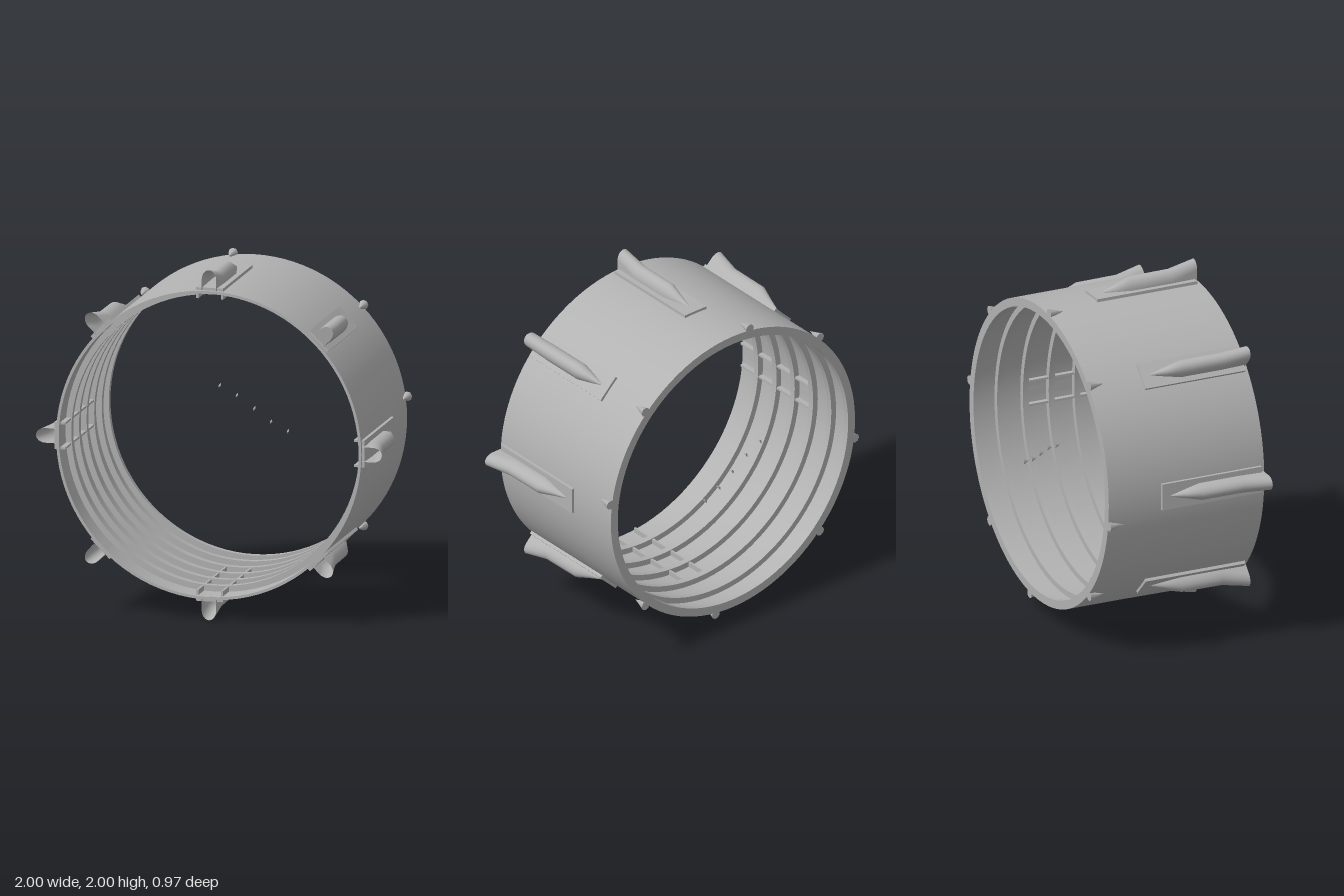
import * as THREE from 'three';
import { toCreasedNormals } from 'three/addons/utils/BufferGeometryUtils.js';

const CENTER_Y = 1;

// Ring wall with inner ribs: one closed profile of [radius, z], turned about z
function ringGeometry() {
  const inner = 0.866, rib = 0.832;
  const p = [[0.882, -0.485], [0.882, 0.48], [inner, 0.48]];
  for (const z of [0.32, 0.16, 0, -0.16, -0.32]) {
    p.push([inner, z + 0.018], [rib, z + 0.018], [rib, z - 0.018], [inner, z - 0.018]);
  }
  p.push([inner, -0.45], [rib, -0.45], [rib, -0.485], [0.882, -0.485]);
  const geo = new THREE.LatheGeometry(p.map(([r, z]) => new THREE.Vector2(r, z)), 96);
  geo.rotateX(Math.PI / 2);
  return toCreasedNormals(geo, 0.6);
}

// Hollow scoop: arched sections [z, half width, top radius] lofted to a point
function scoopGeometry() {
  const sections = [[0.475, 0.042, 1.0], [0.32, 0.047, 0.965], [0.07, 0.047, 0.963],
    [-0.02, 0.026, 0.928], [-0.12, 0.001, 0.892]];
  const base = 0.87, n = 14, pos = [], idx = [];
  sections.forEach(([z, w, top], i) => {
    const arch = Math.min(w * 1.3, top - base);
    for (let j = 0; j <= n; j++) {
      const a = Math.PI * (1 - (j - 1) / (n - 2));
      if (j === 0) pos.push(-w, base, z);
      else if (j === n) pos.push(w, base, z);
      else pos.push(w * Math.cos(a), top - arch + arch * Math.sin(a), z);
      if (i < sections.length - 1 && j < n) {
        const q = i * (n + 1) + j, r = q + n + 1;
        idx.push(q, q + 1, r, q + 1, r + 1, r);
      }
    }
  });
  const geo = new THREE.BufferGeometry();
  geo.setAttribute('position', new THREE.Float32BufferAttribute(pos, 3));
  geo.setIndex(idx);
  geo.computeVertexNormals();
  return geo;
}

export function createModel() {
  const grey = new THREE.MeshStandardMaterial({ color: 0xb2b2b2, side: THREE.DoubleSide });
  grey.name = 'plain grey';
  const model = new THREE.Group();
  model.name = 'ribbedRing';
  const body = new THREE.Group();
  body.name = 'body';
  body.position.y = CENTER_Y;
  model.add(body);

  const add = (parent, name, geo, x = 0, y = 0, z = 0) => {
    const mesh = new THREE.Mesh(geo, grey);
    mesh.name = name;
    mesh.position.set(x, y, z);
    parent.add(mesh);
    return mesh;
  };

  add(body, 'ringShell', ringGeometry());

  const scoop = scoopGeometry();
  const pad = new THREE.BoxGeometry(0.155, 0.031, 0.62);
  const sideBar = new THREE.BoxGeometry(0.012, 0.035, 0.62);
  const endBar = new THREE.BoxGeometry(0.155, 0.035, 0.012);
  const spike = toCreasedNormals(new THREE.ConeGeometry(0.028, 0.09, 8).rotateX(Math.PI / 2), 0.9);

  for (let i = 0; i < 8; i++) {
    const angle = (i * Math.PI) / 4;
    const cardinal = i % 2 === 0;

    // Scoop on its mounting pad
    const station = new THREE.Group();
    station.name = 'scoopStation';
    station.rotation.z = angle;
    body.add(station);
    add(station, 'mountingPad', pad, 0, 0.8805, 0.15);
    add(station, 'scoop', scoop);

    // Stiffening frame inside the wall
    if (cardinal) {
      for (const s of [-1, 1]) add(station, 'frameSideBar', sideBar, s * 0.0715, 0.8505, 0.15);
      add(station, 'frameEndBar', endBar, 0, 0.8505, -0.154);
    }

    // Small spike at the back rim
    const spikeArm = new THREE.Group();
    spikeArm.name = 'rearSpike';
    spikeArm.rotation.z = angle + (cardinal ? 0.138 : 0);
    body.add(spikeArm);
    add(spikeArm, 'spike', spike, 0, 0.892, -0.44);
  }

  // Row of tiny slivers across the back opening
  const sliver = new THREE.ConeGeometry(0.016, 0.03, 4).rotateX(Math.PI / 2).scale(0.4, 1, 1);
  for (const [x, y] of [[-0.2, 0.12], [-0.1, 0.07], [0, 0], [0.097, -0.068], [0.195, -0.118]]) {
    add(body, 'sliver', sliver, x, y, -0.47).rotation.z = -0.35;
  }
  return model;
}
